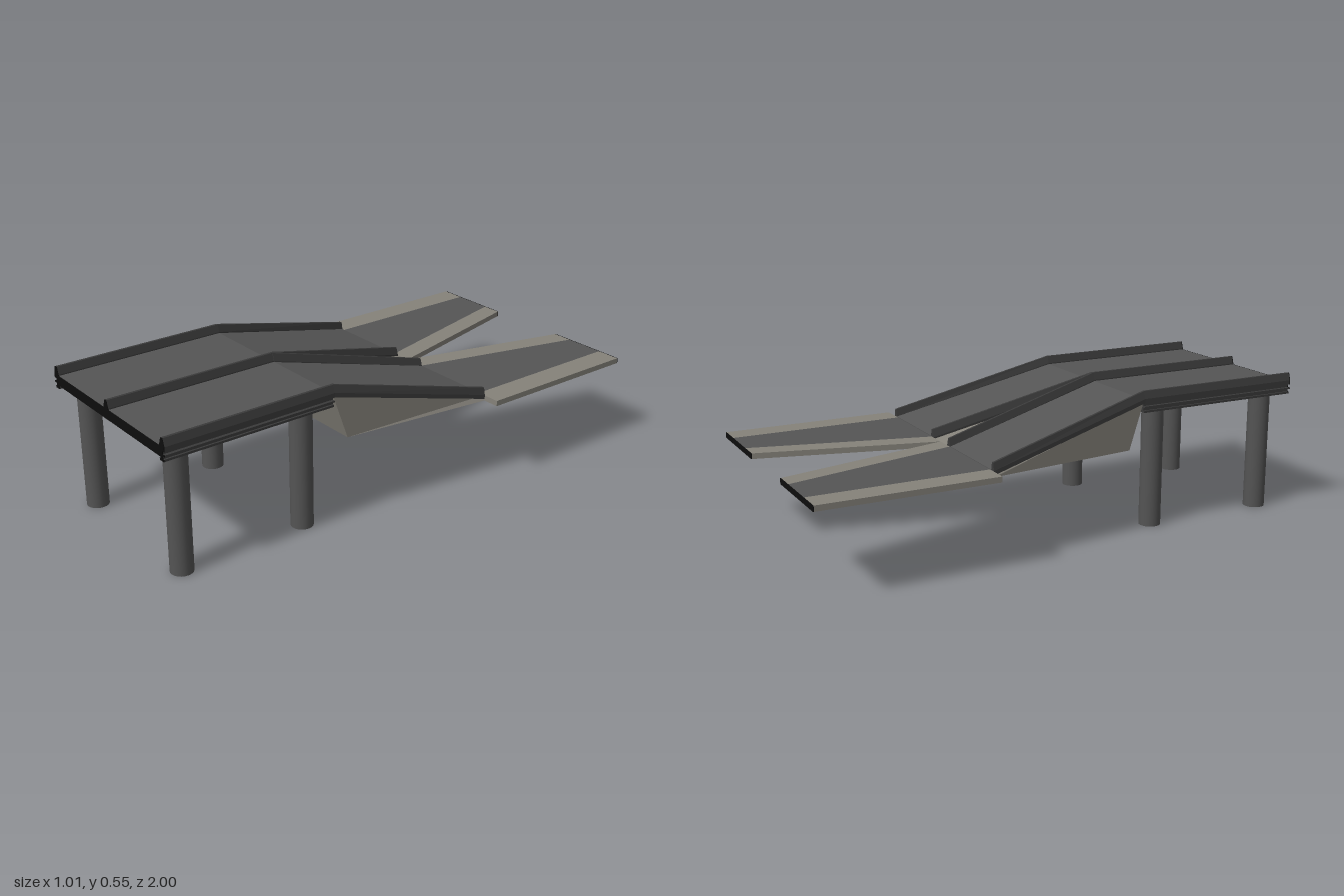
import * as THREE from 'three';

const mat = (name, color) => {
  const m = new THREE.MeshStandardMaterial({ color });
  m.name = name;
  return m;
};

// Joins a front section to a back section; both convex, counter-clockwise seen from +z
function loft(front, back) {
  const pos = [];
  const tri = (...p) => p.forEach((v) => pos.push(...v));
  const n = front.length;
  for (let i = 0; i < n; i++) {
    const j = (i + 1) % n;
    tri(front[i], back[i], back[j]);
    tri(front[i], back[j], front[j]);
  }
  for (let i = 1; i < n - 1; i++) {
    tri(front[0], front[i], front[i + 1]);
    tri(back[0], back[i + 1], back[i]);
  }
  const g = new THREE.BufferGeometry();
  g.setAttribute('position', new THREE.Float32BufferAttribute(pos, 3));
  g.computeVertexNormals();
  return g;
}

const mirror = (section) => section.map(([x, y, z]) => [-x, y, z]).reverse();
const rect = (x0, x1, y0, y1, z) => [[x0, y0, z], [x1, y0, z], [x1, y1, z], [x0, y1, z]];
// Upright rail section, wide at the foot and narrow at the top
const railSection = (x, y, z, w = 0.014) =>
  [[x - w, y - 0.012, z], [x + w, y - 0.012, z], [x + w, y + 0.004, z],
    [x + 0.005, y + 0.032, z], [x - 0.005, y + 0.032, z], [x - w, y + 0.004, z]];

export function createModel() {
  const model = new THREE.Group();
  model.name = 'splitRampBridge';
  const asphalt = mat('asphalt', 0x555555);
  const concrete = mat('concrete', 0x85827a);
  const steel = mat('dark steel', 0x3a3a3a);
  const pillar = mat('pillar grey', 0x545454);
  const black = mat('black end', 0x0d0d0d);

  const add = (name, geometry, material) => {
    const mesh = new THREE.Mesh(geometry, material);
    mesh.name = name;
    model.add(mesh);
    return mesh;
  };
  const addPair = (name, front, back, material) => {
    add(name + 'Left', loft(front, back), material);
    add(name + 'Right', loft(mirror(front), mirror(back)), material);
  };
  const box = (name, x0, x1, y0, y1, z0, z1, material) =>
    add(name, loft(rect(x0, x1, y0, y1, z1), rect(x0, x1, y0, y1, z0)), material);

  const F = 0.997; // face behind the thin black end plates
  const M = 0.325; // deck meets ramp
  const B = -0.33; // ramp meets lower plates

  // Level deck with its end plate
  box('deck', -0.355, 0.355, 0.485, 0.515, M, F, asphalt);
  box('deckEnd', -0.36, 0.36, 0.478, 0.515, F, 1, black);

  // Edge girders: web and three flanges
  for (const s of [-1, 1]) {
    const girder = (name, a, b, y0, y1) => {
      const [x0, x1] = s > 0 ? [a, b] : [-b, -a];
      box(name, x0, x1, y0, y1, M, F, steel);
      box(name + 'End', x0, x1, y0, y1, F, 1, black);
    };
    girder('girderWeb', 0.353, 0.364, 0.47, 0.515);
    girder('girderLowerFlange', 0.347, 0.371, 0.465, 0.473);
    girder('girderMiddleFlange', 0.353, 0.376, 0.484, 0.49);
    girder('girderUpperFlange', 0.353, 0.376, 0.502, 0.508);
  }

  // Beams under the deck
  for (const x of [-0.24, -0.12, 0, 0.12, 0.24]) {
    const w = x === 0 ? 0.018 : 0.008;
    box('deckBeam', x - w, x + w, 0.474, 0.486, M, F, steel);
  }
  for (const z of [0.35, 0.51, 0.67, 0.83, 0.98]) {
    box('crossBeam', -0.352, 0.352, 0.476, 0.486, z - 0.009, z + 0.009, steel);
  }

  // Deck rails
  addPair('deckRail', railSection(0.362, 0.515, F), railSection(0.362, 0.515, M), steel);
  addPair('deckRailEnd', railSection(0.362, 0.515, 1), railSection(0.362, 0.515, F), black);
  add('centreRail', loft(railSection(0, 0.515, F), railSection(0, 0.515, M)), steel);
  add('centreRailEnd', loft(railSection(0, 0.515, 1), railSection(0, 0.515, F)), black);

  // Embankment below the ramp, its front face leaning outward at the top
  add('embankment', loft(
    [[-0.37, 0.33, 0.265], [0.37, 0.33, 0.265], [0.365, 0.505, M], [-0.365, 0.505, M]],
    [[-0.44, 0.33, B], [0.44, 0.33, B], [0.43, 0.347, B], [-0.43, 0.347, B]],
  ), concrete);

  // Two diverging ramp roads with rails on both edges
  addPair('rampRoad', rect(0, 0.36, 0.49, 0.515, M), rect(0.07, 0.43, 0.335, 0.353, B), asphalt);
  addPair('rampOuterRail', railSection(0.362, 0.515, M), railSection(0.43, 0.349, B, 0.011), steel);
  addPair('rampInnerRail', railSection(0.003, 0.515, M), railSection(0.073, 0.349, B, 0.014), steel);

  // Lower plates: road with a shoulder on each side
  const E = -0.997;
  addPair('lowerRoad', rect(0.08, 0.41, 0.33, 0.351, B), rect(0.25, 0.41, 0.33, 0.351, E), asphalt);
  addPair('innerShoulder', rect(0, 0.08, 0.33, 0.351, B), rect(0.17, 0.25, 0.33, 0.351, E), concrete);
  addPair('outerShoulder', rect(0.41, 0.505, 0.33, 0.351, B), rect(0.41, 0.505, 0.33, 0.351, E), concrete);
  addPair('lowerEnd', rect(0.17, 0.505, 0.33, 0.351, E), rect(0.17, 0.505, 0.33, 0.351, -1), black);

  // Round pillars
  const pillarGeometry = new THREE.CylinderGeometry(0.042, 0.042, 0.48, 20);
  for (const x of [-0.295, 0.295]) {
    for (const z of [0.413, 0.915]) {
      add('pillar', pillarGeometry, pillar).position.set(x, 0.24, z);
    }
  }
  return model;
}
